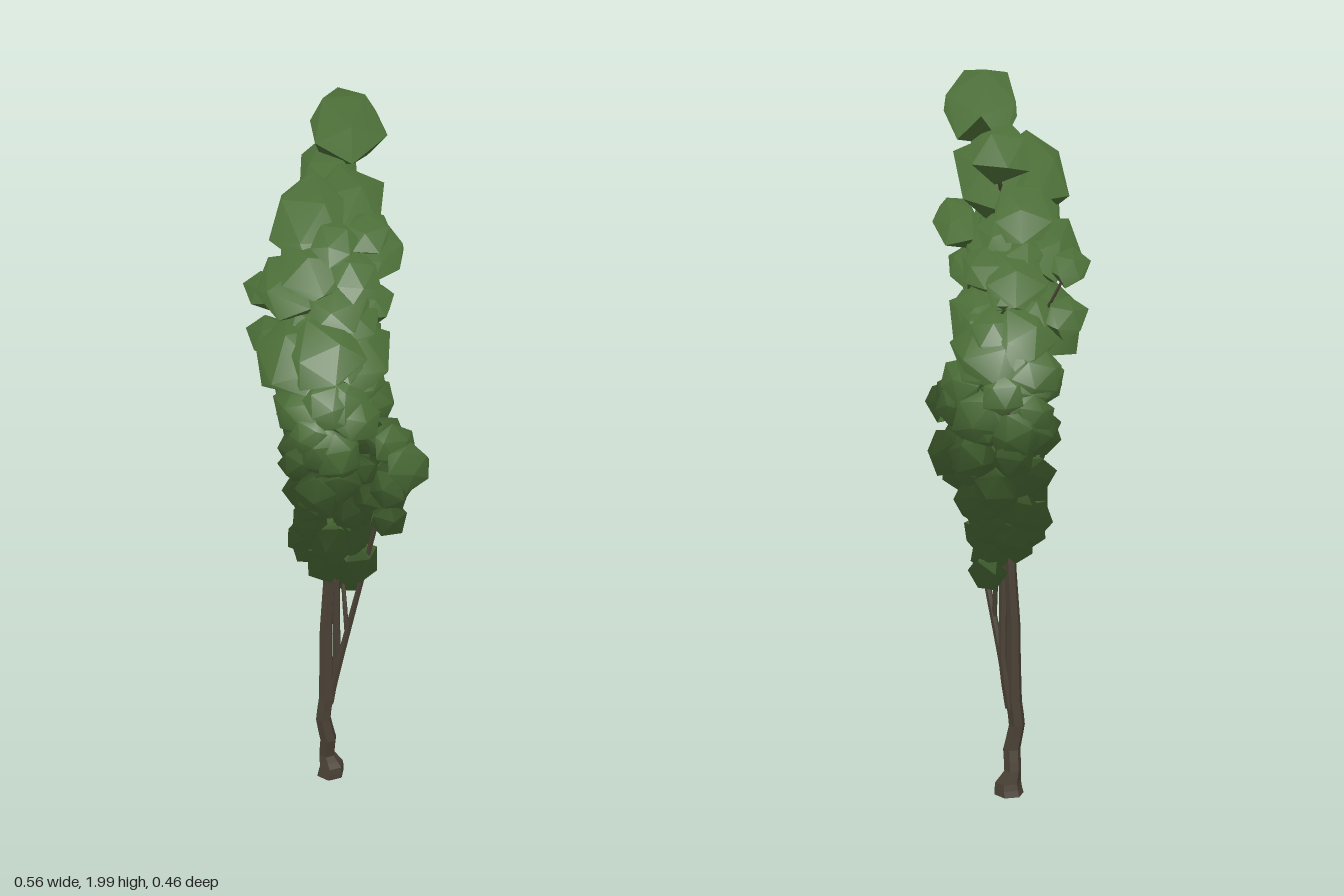
import * as THREE from 'three';

const foliageGreen = new THREE.MeshStandardMaterial({ color: 0x4b6d37 });
foliageGreen.name = 'foliageGreen';
const barkBrown = new THREE.MeshStandardMaterial({ color: 0x4a4135 });
barkBrown.name = 'barkBrown';

let seed = 11;
const rand = () => (seed = (seed * 16807) % 2147483647) / 2147483647;

const crownCentre = new THREE.Vector3(-0.05, 1.12, 0.03);

// Faceted leaf clump; normals lean away from the crown centre for soft foliage shading
function clump(x, y, z, r, stretch = 1) {
  const g = new THREE.IcosahedronGeometry(1.1, 0);
  const p = g.attributes.position;
  const k = rand() * 6;
  const v = new THREE.Vector3();
  for (let i = 0; i < p.count; i++) {
    v.fromBufferAttribute(p, i);
    v.multiplyScalar(1 + 0.09 * Math.sin(5 * v.x + 7 * v.y + 3 * v.z + k));
    p.setXYZ(i, v.x, v.y, v.z);
  }
  g.rotateX(rand() * 6);
  g.rotateY(rand() * 6);
  g.scale(r, r * stretch, r);
  g.translate(x, y, z);
  g.computeVertexNormals();
  const n = g.attributes.normal;
  const out = new THREE.Vector3();
  for (let i = 0; i < n.count; i++) {
    v.fromBufferAttribute(n, i);
    out.fromBufferAttribute(p, i).sub(crownCentre).normalize();
    out.multiplyScalar(1.9).add(v).normalize();
    n.setXYZ(i, out.x, out.y, out.z);
  }
  const m = new THREE.Mesh(g, foliageGreen);
  m.name = 'leafClump';
  return m;
}

// Tapered limb through points [x, y, z, radius], six sided and flat shaded
function limb(name, pts) {
  const curve = new THREE.CatmullRomCurve3(pts.map(q => new THREE.Vector3(q[0], q[1], q[2])));
  const segs = (pts.length - 1) * 2, sides = 6;
  const pos = [], idx = [];
  for (let i = 0; i <= segs; i++) {
    const t = i / segs, c = curve.getPoint(t);
    const a = Math.min(Math.floor(i / 2), pts.length - 2);
    const r = THREE.MathUtils.lerp(pts[a][3], pts[a + 1][3], i / 2 - a);
    for (let j = 0; j < sides; j++) {
      const w = (j / sides) * Math.PI * 2;
      pos.push(c.x + r * Math.cos(w), c.y, c.z + r * Math.sin(w));
      if (i < segs) {
        const b = i * sides + j, d = i * sides + (j + 1) % sides;
        idx.push(b, b + sides, d, d, b + sides, d + sides);
      }
    }
  }
  // end caps
  for (let j = 1; j < sides - 1; j++) {
    const e = segs * sides;
    idx.push(0, j, j + 1, e, e + j + 1, e + j);
  }
  let g = new THREE.BufferGeometry();
  g.setAttribute('position', new THREE.Float32BufferAttribute(pos, 3));
  g.setIndex(idx);
  g = g.toNonIndexed();
  g.computeVertexNormals();
  const m = new THREE.Mesh(g, barkBrown);
  m.name = name;
  return m;
}

// Clumps as x, y, z, radius, vertical stretch
const upperClumps = [
  [-0.108, 1.903, -0.12, 0.098, 1.03], [-0.145, 1.79, -0.1, 0.08], [-0.193, 1.63, -0.055, 0.082],
  [-0.02, 1.72, 0.0, 0.105, 1.05], [-0.05, 1.72, 0.1, 0.1, 1.1], [0.1, 1.7, 0.06, 0.055],
  [0.09, 1.6, 0.1, 0.065], [0.065, 1.69, 0.15, 0.056], [0.04, 1.6, -0.08, 0.065],
];
const middleClumps = [
  [-0.11, 1.53, 0.11, 0.095], [-0.225, 1.49, 0.08, 0.05], [0.0, 1.5, 0.06, 0.09],
  [-0.03, 1.6, 0.11, 0.095], [-0.225, 1.36, 0.07, 0.055], [0.01, 1.33, 0.0, 0.1],
  [-0.1, 1.34, 0.11, 0.108], [0.0, 1.37, 0.11, 0.1], [-0.05, 1.25, -0.035, 0.1],
  [-0.16, 1.21, 0.03, 0.062], [0.0, 1.22, 0.05, 0.085], [-0.1, 1.45, -0.005, 0.085],
  [-0.1, 1.18, 0.08, 0.08], [0.02, 1.18, -0.08, 0.06], [-0.13, 1.3, 0.0, 0.08],
  [-0.05, 1.42, 0.04, 0.1], [0.05, 1.48, -0.03, 0.055],
];
const lowerClumps = [
  [-0.12, 1.05, 0.04, 0.078], [-0.03, 1.07, 0.08, 0.07], [-0.04, 1.08, -0.07, 0.075],
  [0.08, 1.1, -0.05, 0.055], [0.16, 1.12, 0.02, 0.055], [0.227, 1.085, 0.045, 0.058],
  [0.1, 0.97, -0.05, 0.065], [0.145, 0.9, 0.02, 0.05], [0.03, 0.92, 0.0, 0.07],
  [-0.08, 0.91, 0.03, 0.072], [-0.05, 0.92, 0.11, 0.05], [-0.09, 0.8, 0.07, 0.06],
  [-0.03, 0.79, 0.01, 0.08], [0.04, 0.735, 0.02, 0.058], [-0.03, 0.65, -0.03, 0.05],
  [-0.03, 0.98, -0.08, 0.065], [-0.02, 0.85, -0.05, 0.068], [-0.05, 0.72, 0.05, 0.055],
  [-0.13, 1.04, -0.02, 0.065], [0.01, 1.0, 0.06, 0.07], [-0.09, 0.76, 0.0, 0.055],
  [-0.02, 0.7, -0.01, 0.055], [0.14, 0.98, 0.01, 0.055], [0.02, 0.82, 0.03, 0.06],
  [0.085, 0.94, 0.015, 0.055],
];

export function createModel() {
  const tree = new THREE.Group();
  tree.name = 'tree';

  // Trunk with a flared foot and a kinked lower stem
  const wood = new THREE.Group();
  wood.name = 'wood';
  wood.add(
    limb('trunk', [
      [-0.052, 0, 0.03, 0.042], [-0.048, 0.035, 0.03, 0.037], [-0.06, 0.07, 0.036, 0.024],
      [-0.05, 0.13, 0.042, 0.025], [-0.06, 0.2, 0.052, 0.023], [-0.054, 0.27, 0.046, 0.023],
      [-0.056, 0.5, 0.042, 0.019], [-0.045, 0.8, 0.03, 0.016], [-0.06, 1.3, 0.04, 0.012],
      [-0.05, 1.65, 0.05, 0.006],
    ]),
    limb('rearStem', [
      [-0.05, 0.25, 0.035, 0.014], [-0.034, 0.4, 0.02, 0.012], [-0.032, 0.65, 0.025, 0.011],
      [0, 1.1, -0.03, 0.007],
    ]),
    limb('sideBranch', [
      [-0.05, 0.24, 0.04, 0.012], [-0.01, 0.42, 0.032, 0.011], [0.05, 0.67, 0.02, 0.009],
      [0.11, 0.9, 0.02, 0.007], [0.165, 1.08, 0.02, 0.004],
    ]),
    limb('sideTwig', [[0.008, 0.5, 0.028, 0.007], [-0.005, 0.58, 0.02, 0.007], [-0.03, 0.68, 0, 0.005]]),
    limb('outerTwig', [[0.15, 1.04, 0.02, 0.004], [0.19, 1.08, 0.035, 0.004], [0.22, 1.09, 0.045, 0.003]]),
    limb('leftTwig', [[-0.1, 1.28, 0.04, 0.007], [-0.19, 1.4, 0.05, 0.005], [-0.22, 1.47, 0.07, 0.004]]),
    limb('topTwig', [[-0.05, 1.55, 0.03, 0.007], [-0.1, 1.7, -0.05, 0.006], [-0.12, 1.85, -0.12, 0.004]]),
  );
  tree.add(wood);

  // Crown in three tiers
  const tiers = { upperFoliage: upperClumps, middleFoliage: middleClumps, lowerFoliage: lowerClumps };
  for (const [name, list] of Object.entries(tiers)) {
    const tier = new THREE.Group();
    tier.name = name;
    for (const c of list) tier.add(clump(...c));
    tree.add(tier);
  }

  // Small scattered clumps fill the crown, wider toward the middle
  const filler = new THREE.Group();
  filler.name = 'fillerFoliage';
  for (let i = 0; i < 44; i++) {
    const y = 0.74 + (i / 43) * 0.88;
    const a = i * 2.4;
    const spread = 0.052 + 0.045 * Math.sin(((y - 0.7) / 0.95) * Math.PI);
    filler.add(clump(-0.045 + Math.cos(a) * spread, y, 0.025 + Math.sin(a) * spread, 0.045 + 0.018 * rand()));
  }
  tree.add(filler);
  return tree;
}
